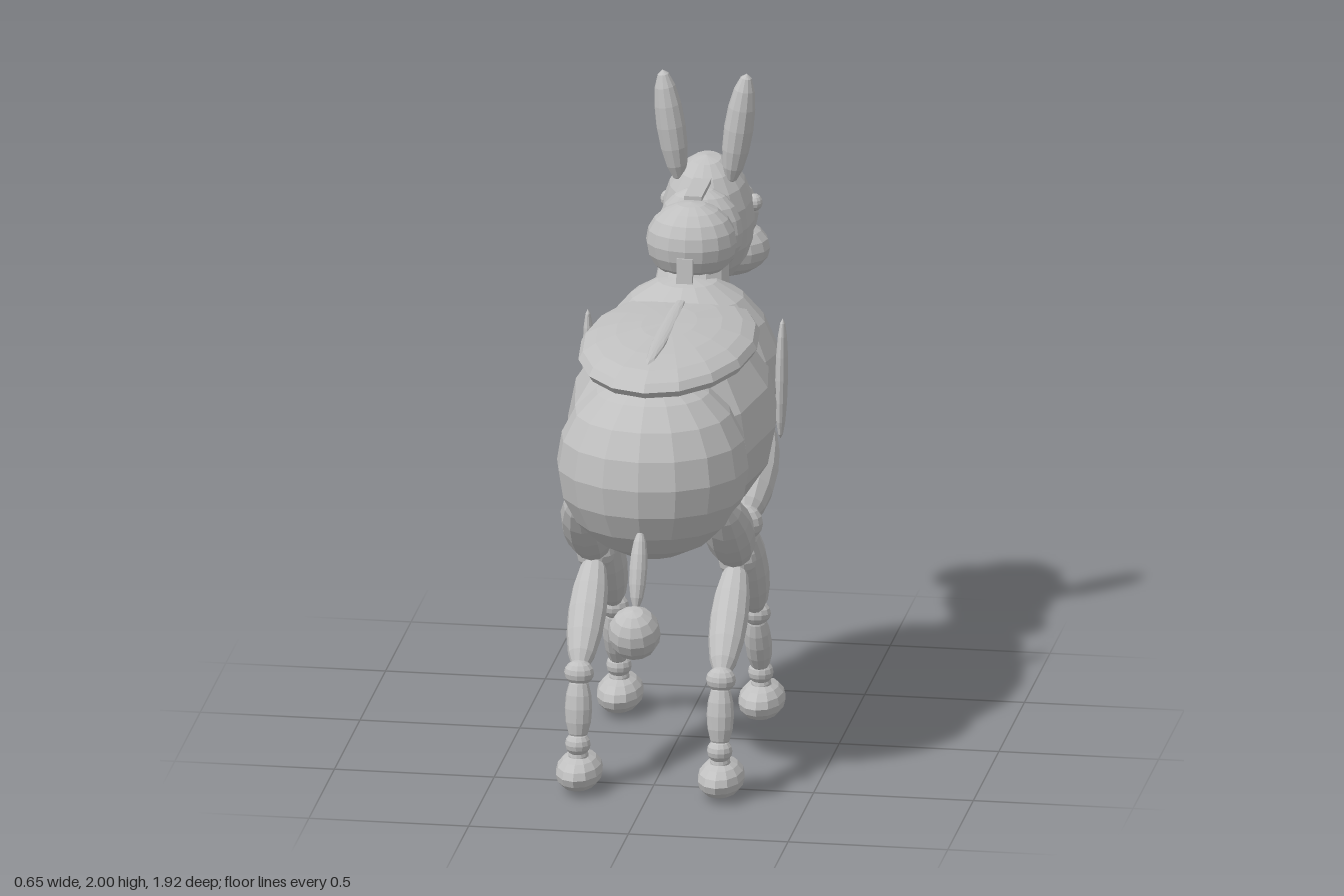
import * as THREE from 'three';

export function createModel() {
  const model = new THREE.Group();
  model.name = 'donkey';
  const grey = new THREE.MeshStandardMaterial({ color: 0xc0c0c0 });
  grey.name = 'plainGrey';

  // Faceted normals are baked in so the material only carries its colour
  function faceted(geometry) {
    const g = geometry.toNonIndexed();
    g.computeVertexNormals();
    return g;
  }
  const large = faceted(new THREE.SphereGeometry(1, 16, 10));
  const small = faceted(new THREE.SphereGeometry(1, 12, 8));
  const cube = new THREE.BoxGeometry(1, 1, 1);

  function part(name, geometry, pos, scale, rot = [0, 0, 0], parent = model) {
    const mesh = new THREE.Mesh(geometry, grey);
    mesh.name = name;
    mesh.position.set(...pos);
    mesh.scale.set(...scale);
    mesh.rotation.set(...rot);
    parent.add(mesh);
    return mesh;
  }

  // Ellipsoid stretched between two points
  const up = new THREE.Vector3(0, 1, 0);
  function limb(name, a, b, rx, rz, parent = model) {
    const p = new THREE.Vector3(...a), q = new THREE.Vector3(...b);
    const mid = p.clone().add(q).multiplyScalar(0.5);
    const mesh = part(name, small, mid.toArray(), [rx, p.distanceTo(q) / 2, rz], [0, 0, 0], parent);
    mesh.quaternion.setFromUnitVectors(up, q.sub(p).normalize());
    return mesh;
  }

  // Body
  part('chest', large, [0, 1.105, -0.155], [0.3, 0.345, 0.29]);
  part('barrel', small, [0, 1.07, 0.15], [0.325, 0.325, 0.59], [0, Math.PI / 12, 0]).rotation.y = 0;
  part('rump', large, [0, 1.05, 0.52], [0.3, 0.295, 0.295]);

  // Blanket with its ridge along the back
  part('blanket', large, [0, 1.335, 0.2], [0.275, 0.075, 0.5]);
  part('backRidge', small, [0, 1.403, 0.27], [0.025, 0.01, 0.355]);

  // Neck
  const neck = part('neck', faceted(new THREE.CylinderGeometry(0.11, 0.15, 1, 12)),
    [0, 1.39, -0.25], [1, 0.3, 1], [-0.55, 0, 0]);
  neck.scale.x = 0.9;
  part('neckBall', large, [0, 1.535, -0.235], [0.142, 0.125, 0.13]);
  part('nape', large, [0, 1.515, -0.4], [0.135, 0.142, 0.085]);
  part('upperMane', cube, [0, 1.66, -0.36], [0.055, 0.015, 0.19]);
  part('lowerMane', cube, [0, 1.465, -0.105], [0.05, 0.1, 0.02], [-0.1, 0, 0]);

  // Head
  part('head', large, [0, 1.505, -0.565], [0.145, 0.215, 0.165], [0.15, 0, 0]);
  part('muzzle', large, [0, 1.46, -0.77], [0.125, 0.125, 0.15], [-0.3, 0, 0]);
  part('chin', large, [0, 1.325, -0.84], [0.15, 0.093, 0.117]);
  part('mouth', cube, [0, 1.33, -0.71], [0.16, 0.02, 0.08]);

  // Tail
  limb('tail', [0, 0.91, 0.76], [0, 0.68, 0.85], 0.028, 0.032);
  part('tailTuft', small, [0, 0.615, 0.88], [0.082, 0.086, 0.083], [0.35, 0, 0]);

  for (const side of [-1, 1]) {
    const label = side > 0 ? 'left' : 'right';

    // Ears, eyes and side flaps
    limb(label + 'Ear', [side * 0.08, 1.64, -0.5], [side * 0.132, 2, -0.495], 0.046, 0.05);
    limb(label + 'InnerEar', [side * 0.085, 1.68, -0.542], [side * 0.125, 1.94, -0.537], 0.022, 0.012);
    part(label + 'Eye', small, [side * 0.135, 1.54, -0.628], [0.025, 0.027, 0.029]);
    limb(label + 'Flap', [side * 0.298, 0.945, -0.115], [side * 0.305, 1.335, -0.115], 0.02, 0.034);

    // Legs: each row gives z and y of the joints from hip to hoof
    const legs = {
      HindLeg: { hip: [0.575, 0.955], knee: [0.257, 0.667], hock: [0.575, 0.378], ankle: [0.6, 0.155], hoof: 0.57 },
      FrontLeg: { hip: [-0.22, 0.975], knee: [0.125, 0.745], hock: [-0.11, 0.378], ankle: [-0.205, 0.155], hoof: -0.228 },
    };
    for (const [kind, j] of Object.entries(legs)) {
      const leg = new THREE.Group();
      leg.name = label + kind;
      model.add(leg);
      const at = ([z, y]) => [side * 0.222, y, z];
      limb('thigh', at(j.hip), at(j.knee), 0.08, 0.08, leg);
      part('knee', small, at(j.knee), [0.06, 0.058, 0.058], [0, 0, 0], leg);
      limb('shin', at(j.knee), at(j.hock), 0.06, 0.06, leg);
      part('hock', small, at(j.hock), [0.047, 0.04, 0.042], [0, 0, 0], leg);
      limb('cannon', at(j.hock), at(j.ankle), 0.043, 0.043, leg);
      part('ankle', small, at(j.ankle), [0.04, 0.038, 0.042], [0, 0, 0], leg);
      limb('pastern', at(j.ankle), at([j.hoof, 0.05]), 0.033, 0.04, leg);
      part('hoof', small, at([j.hoof, 0.06]), [0.073, 0.06, 0.125], [0, 0, 0], leg);
    }
  }
  return model;
}
